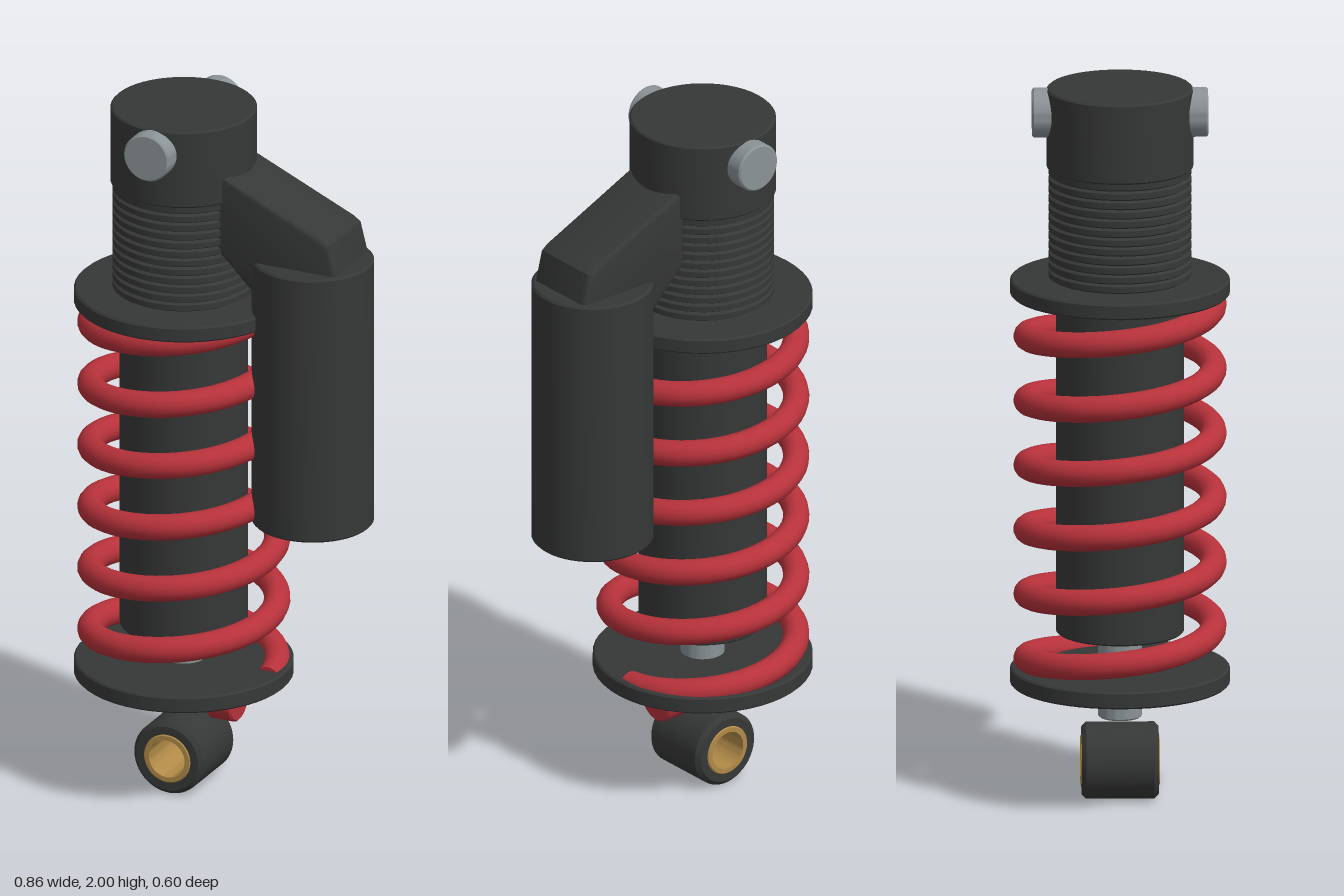
import * as THREE from 'three';
import { toCreasedNormals } from 'three/addons/utils/BufferGeometryUtils.js';

const AXIS = -0.13; // x of the damper axis

const paint = (color) => new THREE.MeshStandardMaterial({ color });
const dark = paint(0x363837);
const steel = paint(0x8a9396);
const red = paint(0xb8323b);
const brass = paint(0xb08a48);

// Turned part from [radius, y] pairs, listed bottom to top on the outside
function turned(points, segments = 48) {
  const profile = points.map(([r, y]) => new THREE.Vector2(r, y));
  return toCreasedNormals(new THREE.LatheGeometry(profile, segments), 0.6);
}

// Solid disc or rod with slightly chamfered rims
function rod(r, y0, y1, c = 0.005) {
  return turned([[0, y0], [r - c, y0], [r, y0 + c], [r, y1 - c], [r - c, y1], [0, y1]]);
}

// Hollow sleeve centred on the origin
function sleeve(outer, inner, half, c) {
  return turned([[inner, -half], [outer - c, -half], [outer, -half + c],
    [outer, half - c], [outer - c, half], [inner, half], [inner, -half]]);
}

// Coil rising from the +x side, first round the back
class Coil extends THREE.Curve {
  constructor(radius, y0, y1, turns) {
    super();
    Object.assign(this, { radius, y0, y1, turns });
  }

  getPoint(t, target = new THREE.Vector3()) {
    const a = t * this.turns * Math.PI * 2;
    return target.set(this.radius * Math.cos(a), this.y0 + (this.y1 - this.y0) * t,
      -this.radius * Math.sin(a));
  }
}

export function createModel() {
  const model = new THREE.Group();
  model.name = 'coiloverShockAbsorber';

  function add(name, geometry, material, x = AXIS, y = 0, z = 0) {
    const mesh = new THREE.Mesh(geometry, material);
    mesh.name = name;
    mesh.position.set(x, y, z);
    model.add(mesh);
    return mesh;
  }

  // Damper body, cap and shaft
  add('topCap', rod(0.2, 1.775, 2), dark);
  add('damperBody', rod(0.175, 0.47, 1.5), dark);
  add('shaft', rod(0.06, 0.23, 0.6), steel);

  // Threaded preload section
  const thread = [[0, 1.44]];
  const ridges = 13;
  const pitch = (1.78 - 1.44) / ridges;
  for (let i = 0; i < ridges; i++) {
    const y = 1.44 + i * pitch;
    thread.push([0.186, y], [0.195, y + pitch * 0.2], [0.195, y + pitch * 0.8]);
  }
  thread.push([0.186, 1.78], [0, 1.78]);
  add('threadedCollar', turned(thread), dark);

  // Spring seats
  add('upperSpringSeat', rod(0.3, 1.42, 1.465), dark);
  add('lowerSpringSeat', rod(0.3, 0.325, 0.373), dark);

  // Spring with closed ends
  const coil = new Coil(0.255, 0.35, 1.437, 6);
  add('spring', new THREE.TubeGeometry(coil, 288, 0.036, 14), red);
  [0, 1].forEach((t) => {
    const end = coil.getPoint(t);
    const outward = coil.getTangent(t).multiplyScalar(t ? 1 : -1);
    const cap = add('springEnd', new THREE.CircleGeometry(0.036, 14), red,
      AXIS + end.x, end.y, end.z);
    cap.quaternion.setFromUnitVectors(new THREE.Vector3(0, 0, 1), outward);
  });

  // Upper mounting bolt, a stub on each face of the cap
  [-1, 1].forEach((side) => {
    const bolt = add('mountingBolt', rod(0.068, 0, 0.12), steel, AXIS, 1.93, side * 0.12);
    bolt.rotation.x = side * Math.PI / 2;
  });

  // Lower eyelet and its bushing
  add('eyelet', sleeve(0.105, 0.066, 0.105, 0.012), dark, AXIS, 0.107).rotation.x = Math.PI / 2;
  add('bushing', sleeve(0.07, 0.054, 0.108, 0.003), brass, AXIS, 0.107).rotation.x = Math.PI / 2;

  // Rebound adjuster knob
  add('adjusterKnob', rod(0.06, -0.038, 0.038), red, 0, 0.27).rotation.z = Math.PI / 2;

  // Reservoir
  add('reservoir', rod(0.167, 0.843, 1.62, 0.006), dark, 0.26);

  // Bridge between the cap and the reservoir
  const bevel = 0.015;
  const outline = new THREE.Shape([
    [-0.03, 1.873], [-0.03, 1.69], [0.05, 1.625], [0.125, 1.55], [0.2, 1.55],
    [0.37, 1.58], [0.362, 1.63], [0.345, 1.697], [0.33, 1.708],
  ].map(([x, y]) => new THREE.Vector2(x, y)));
  const bridge = new THREE.ExtrudeGeometry(outline, {
    depth: 0.214 - 2 * bevel, bevelSize: bevel, bevelThickness: bevel, bevelSegments: 3,
  });
  bridge.translate(0, 0, -0.107 + bevel);
  add('reservoirBridge', toCreasedNormals(bridge, 0.6), dark, 0);

  return model;
}
